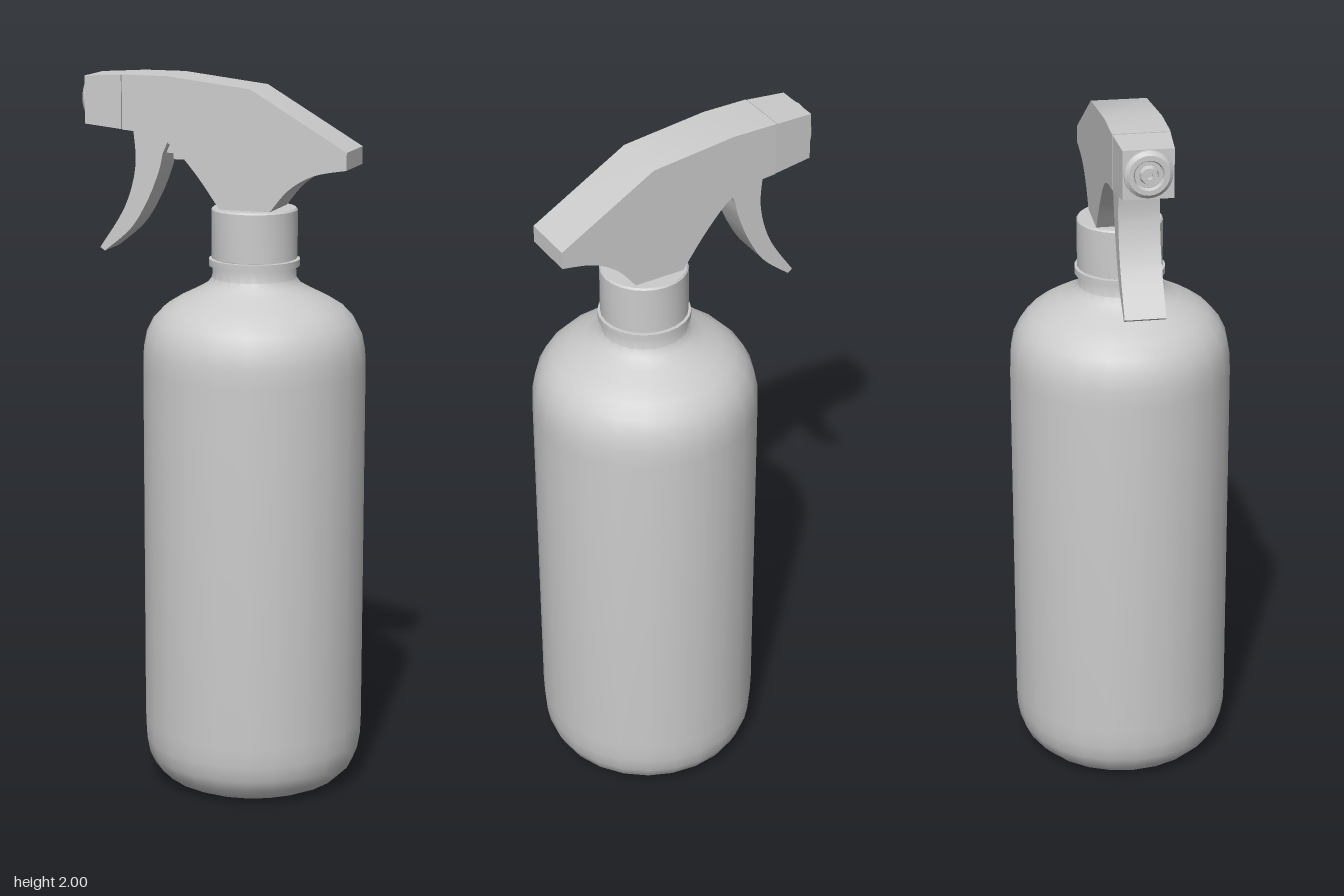
import * as THREE from 'three';
import { toCreasedNormals } from 'three/addons/utils/BufferGeometryUtils.js';

const material = new THREE.MeshStandardMaterial({ color: 0xcccccc, side: THREE.DoubleSide });
const AXIS_X = 0.088; // bottle axis

const vectors = (points) => points.map(([x, y]) => new THREE.Vector2(x, y));

function part(name, geometry) {
  const mesh = new THREE.Mesh(toCreasedNormals(geometry, 0.6), material);
  mesh.name = name;
  return mesh;
}

function turned(name, profile, sides = 24) {
  return part(name, new THREE.LatheGeometry(vectors(profile), sides));
}

// Side outline extruded to a width centred on z = 0
function slab(shape, width) {
  return new THREE.ExtrudeGeometry(shape, { depth: width, bevelEnabled: false, curveSegments: 8 })
    .translate(0, 0, -width / 2);
}

export function createModel() {
  const model = new THREE.Group();
  model.name = 'sprayBottle';

  // Bottle with a hollowed base, rounded shoulder and short neck
  const bottle = turned('bottle', [
    [0, 0.03], [0.1, 0.027], [0.155, 0.015], [0.18, 0.002], [0.2, 0], [0.225, 0.003],
    [0.255, 0.017], [0.283, 0.045], [0.3, 0.08], [0.308, 0.125], [0.31, 0.18],
    [0.31, 1.2], [0.308, 1.25], [0.299, 1.295], [0.28, 1.333], [0.25, 1.365],
    [0.21, 1.39], [0.165, 1.412], [0.13, 1.432], [0.117, 1.45], [0.115, 1.48], [0.115, 1.5],
  ]);

  // Locking ring and screw collar
  const ring = turned('lockingRing', [
    [0.112, 1.483], [0.126, 1.483], [0.126, 1.502], [0.112, 1.502],
  ]);
  const collar = turned('collar', [
    [0.112, 1.505], [0.119, 1.505], [0.119, 1.638], [0.115, 1.643], [0, 1.643],
  ]);
  for (const mesh of [bottle, ring, collar]) {
    mesh.position.x = AXIS_X;
    model.add(mesh);
  }

  // Spray head
  const head = new THREE.Shape();
  head.moveTo(-0.27, 2);
  head.lineTo(-0.14, 2);
  head.lineTo(0.1, 1.972);
  head.lineTo(0.372, 1.813);
  head.lineTo(0.372, 1.765);
  head.splineThru(vectors([[0.28, 1.746], [0.21, 1.705], [0.157, 1.643]]));
  head.lineTo(0.012, 1.643);
  head.splineThru(vectors([[-0.055, 1.735], [-0.125, 1.81], [-0.19, 1.84], [-0.27, 1.85]]));
  model.add(part('sprayHead', slab(head, 0.152)));

  // Nozzle block, narrowing towards its tip
  const block = new THREE.Shape(vectors([
    [-0.273, 1.999], [-0.383, 1.993], [-0.383, 1.861], [-0.273, 1.851],
  ]));
  const nozzle = slab(block, 0.15);
  const p = nozzle.attributes.position;
  for (let i = 0; i < p.count; i++) {
    if (p.getX(i) < -0.35) p.setZ(i, p.getZ(i) * 0.89);
  }
  model.add(part('nozzle', nozzle));

  // Round nozzle tip with a recess and a central outlet
  const tip = turned('nozzleTip', [
    [0.064, 0], [0.063, 0.006], [0.053, 0.014], [0.04, 0.014], [0.036, 0.006],
    [0.025, 0.006], [0.021, 0.019], [0.009, 0.019], [0.008, 0.006], [0, 0.006],
  ]);
  tip.rotation.z = Math.PI / 2;
  tip.position.set(-0.382, 1.928, 0);
  model.add(tip);

  // Curved trigger
  const lever = new THREE.Shape();
  lever.moveTo(-0.247, 1.86);
  lever.splineThru(vectors([[-0.24, 1.75], [-0.272, 1.635], [-0.347, 1.517]]));
  lever.lineTo(-0.333, 1.508);
  lever.splineThru(vectors([[-0.255, 1.575], [-0.205, 1.655], [-0.172, 1.735], [-0.16, 1.785]]));
  lever.lineTo(-0.14, 1.83);
  model.add(part('trigger', slab(lever, 0.11)));

  // Pump piston behind the trigger
  const piston = new THREE.Shape(vectors([
    [-0.16, 1.785], [-0.14, 1.785], [-0.138, 1.768], [-0.07, 1.768], [-0.07, 1.84], [-0.16, 1.84],
  ]));
  model.add(part('piston', slab(piston, 0.05)));

  return model;
}
